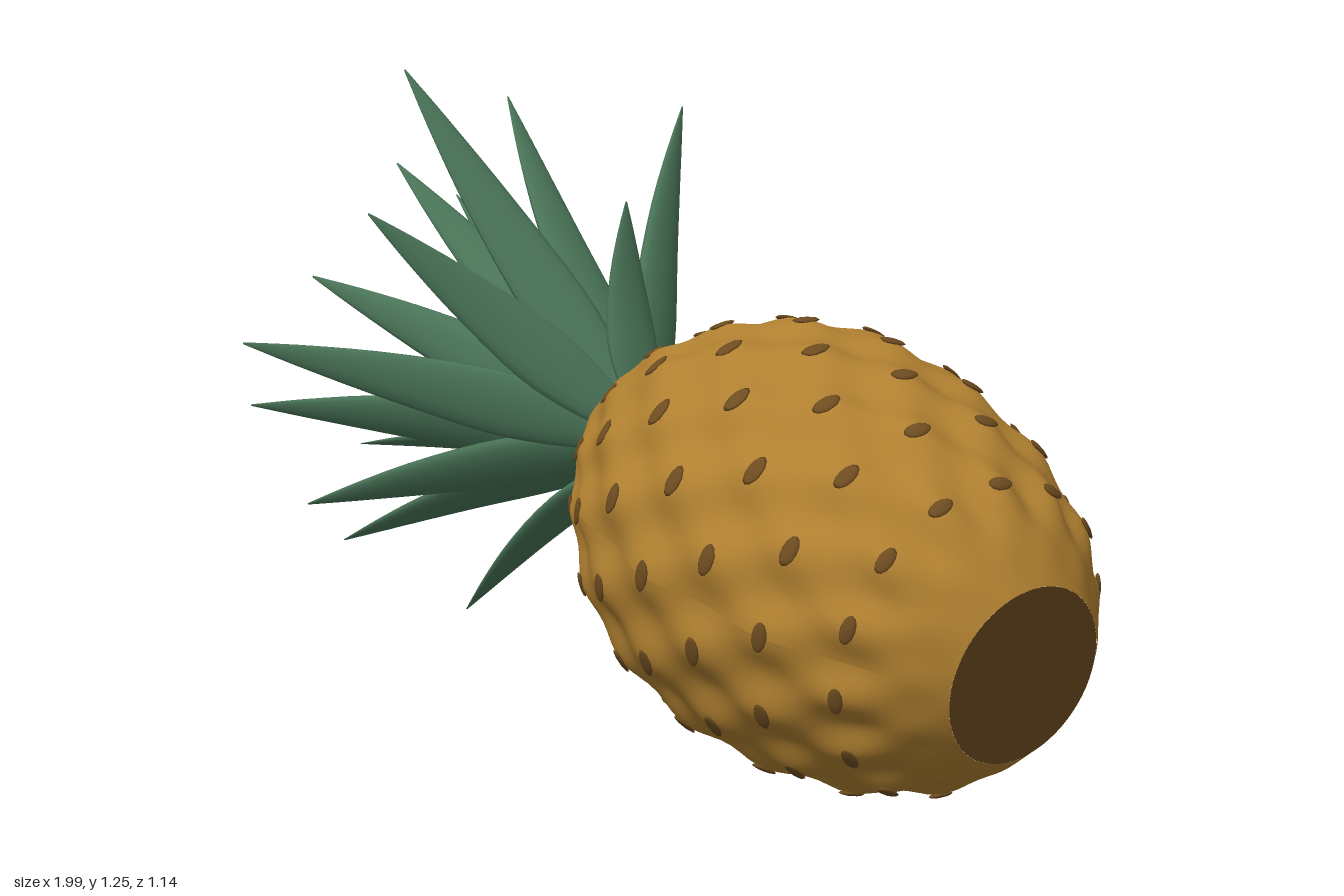
import * as THREE from 'three';
import { mergeGeometries } from 'three/addons/utils/BufferGeometryUtils.js';

const LENGTH = 1.152, AROUND = 14, ROW = 0.14, BUMP = 0.012;
const TILT = 1.333; // the fruit lies down with its crown end raised

const rind = new THREE.MeshStandardMaterial({ color: 0xb08030, roughness: 0.8 });
const dark = new THREE.MeshStandardMaterial({ color: 0x6e4c20, roughness: 0.9 });
const green = new THREE.MeshStandardMaterial({ color: 0x4a7558, roughness: 0.8, side: THREE.DoubleSide });

// Barrel outline (radius, height), from the base up to the crown end
const outline = new THREE.SplineCurve([
  [0.165, 0], [0.235, 0.07], [0.3, 0.17], [0.36, 0.33], [0.392, 0.55], [0.37, 0.75],
  [0.305, 0.9], [0.24, 1.0], [0.18, 1.08], [0.105, LENGTH],
].map(([r, h]) => new THREE.Vector2(r, h)));

// Staggered lattice of rounded bumps, fading out at both ends
function bump(angle, h) {
  const fade = THREE.MathUtils.smoothstep(h, 0, 0.12) * (1 - THREE.MathUtils.smoothstep(h, 0.95, LENGTH));
  return BUMP * fade * Math.cos(AROUND * angle) * Math.cos(Math.PI * h / ROW);
}

function rindGeometry() {
  const geo = new THREE.LatheGeometry(outline.getSpacedPoints(80), 168);
  const p = geo.attributes.position;
  for (let i = 0; i < p.count; i++) {
    const x = p.getX(i), z = p.getZ(i), r = Math.hypot(x, z);
    const k = 1 + bump(Math.atan2(x, z), p.getY(i)) / r;
    p.setX(i, x * k);
    p.setZ(i, z * k);
  }
  geo.computeVertexNormals();
  return geo;
}

// Small flattened dark spot on the peak of every bump
function eyeGeometry() {
  const eyes = [], samples = outline.getSpacedPoints(300);
  for (let row = 1; row <= 7; row++) {
    const h = row * ROW;
    const i = Math.max(1, samples.findIndex((s) => s.y >= h));
    const slope = Math.atan2(samples[i].x - samples[i - 1].x, samples[i].y - samples[i - 1].y);
    const size = 0.5 + 0.5 * samples[i].x / 0.39;
    for (let k = 0; k < AROUND; k++) {
      const angle = (k + (row % 2) / 2) * 2 * Math.PI / AROUND;
      const eye = new THREE.SphereGeometry(1, 10, 6);
      eye.scale(0.03 * size, 0.016 * size, 0.005);
      eye.rotateX(slope);
      eye.translate(0, h, samples[i].x + bump(angle, h));
      eye.rotateY(angle);
      eyes.push(eye);
    }
  }
  return mergeGeometries(eyes);
}

// Leaf tips: x, y, z
const TIPS = [
  [-0.59, 1.25, 0.21], [-0.70, 1.18, -0.11], [-0.47, 1.16, -0.39], [-0.23, 1.0, -0.07],
  [-0.41, 0.99, 0.41], [-0.70, 0.80, -0.55], [-0.62, 0.73, 0.57], [-0.47, 0.58, -0.57],
  [-0.87, 0.64, -0.43], [-0.93, 0.55, 0.38], [-0.69, 0.43, -0.51], [-0.75, 1.05, 0.13],
  [-0.82, 0.97, -0.06], [-0.80, 0.93, -0.25], [-0.91, 0.81, 0.24], [-0.96, 0.57, -0.19],
  [-0.99, 0.43, 0.08], [-1.0, 0.27, -0.30], [-0.80, 0.27, 0.24], [-0.66, 0.12, 0.03],
  [-0.69, 0.38, 0.39],
];
const AXIS = new THREE.Vector3(-Math.sin(TILT), Math.cos(TILT), 0);
const ROOT = new THREE.Vector3(-0.165, 0.555, -0.04);

// Flattened, gently bowed spike from the crown root to a tip
function leafGeometry(tip) {
  const out = new THREE.Vector3(...tip).sub(ROOT);
  const radial = out.clone().addScaledVector(AXIS, -out.dot(AXIS)).normalize();
  const start = ROOT.clone().addScaledVector(radial, 0.055).addScaledVector(AXIS, -0.01);
  const dir = new THREE.Vector3(...tip).sub(start);
  const length = dir.length();
  dir.normalize();
  const side = new THREE.Vector3().crossVectors(dir, AXIS).normalize();
  const face = new THREE.Vector3().crossVectors(side, dir);
  const w = 0.05 + 0.02 * length;
  const shape = new THREE.SplineCurve([[0.55, 0], [0.9, 0.18], [1, 0.35], [0.72, 0.62], [0.36, 0.84], [0.03, 1]]
    .map(([r, h]) => new THREE.Vector2(r * w, h * length)));
  const geo = new THREE.LatheGeometry(shape.getPoints(16), 14);
  geo.scale(1, 1, 0.32);
  const p = geo.attributes.position;
  for (let i = 0; i < p.count; i++) {
    p.setZ(i, p.getZ(i) + 0.02 * Math.sin(Math.PI * p.getY(i) / length));
  }
  geo.computeVertexNormals();
  geo.applyMatrix4(new THREE.Matrix4().makeBasis(side, dir, face).setPosition(start));
  return geo;
}

export function createModel() {
  const model = new THREE.Group();
  model.name = 'pineapple';
  const add = (parent, name, geo, mat) => {
    const mesh = new THREE.Mesh(geo, mat);
    mesh.name = name;
    parent.add(mesh);
    return mesh;
  };

  // Fruit, built upright then laid over
  const fruit = new THREE.Group();
  fruit.name = 'fruit';
  fruit.position.set(0.95, 0.285, -0.04);
  fruit.rotation.z = TILT;
  model.add(fruit);
  add(fruit, 'rind', rindGeometry(), rind);
  add(fruit, 'eyes', eyeGeometry(), dark);
  add(fruit, 'baseCap', new THREE.CircleGeometry(0.165, 64).rotateX(Math.PI / 2), dark);
  add(fruit, 'crownCap', new THREE.CircleGeometry(0.105, 64).rotateX(-Math.PI / 2).translate(0, LENGTH, 0), rind);
  add(fruit, 'crownCore', new THREE.CylinderGeometry(0.04, 0.075, 0.14, 20).translate(0, LENGTH + 0.05, 0), green);

  // Crown of leaves
  const crown = new THREE.Group();
  crown.name = 'crown';
  model.add(crown);
  TIPS.forEach((tip, i) => add(crown, `leaf${i + 1}`, leafGeometry(tip), green));
  return model;
}
